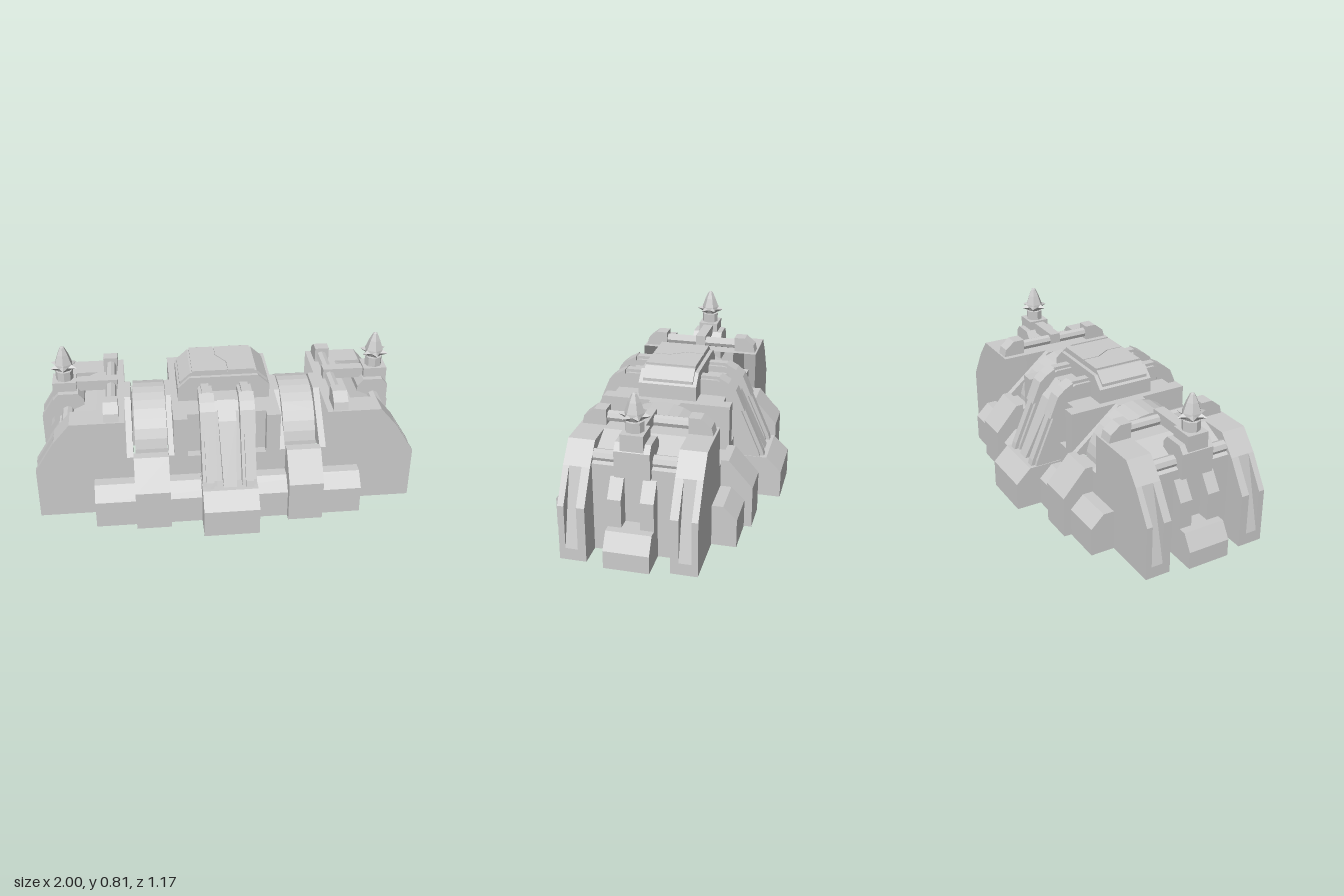
import * as THREE from 'three';

const mat = new THREE.MeshStandardMaterial({ color: 0xcccccc, flatShading: true, side: THREE.DoubleSide });

// The body is a hollow shell: faces on the underside of low parts are left out,
// and so are faces lying in the given inner planes, such as { axis: 'x', at: 0.5 }
function openShell(geo, planes) {
  const g = geo.index ? geo.toNonIndexed() : geo;
  g.computeBoundingBox();
  const low = g.boundingBox.min.y;
  const open = low < 0.35 ? [...planes, { axis: 'y', at: low }] : planes;
  const p = g.attributes.position, kept = [];
  for (let i = 0; i < p.count; i += 3) {
    const tri = [0, 1, 2].map(k => new THREE.Vector3().fromBufferAttribute(p, i + k));
    if (open.some(o => tri.every(v => Math.abs(v[o.axis] - o.at) < 0.001))) continue;
    for (const v of tri) kept.push(v.x, v.y, v.z);
  }
  const out = new THREE.BufferGeometry();
  out.setAttribute('position', new THREE.Float32BufferAttribute(kept, 3));
  out.computeVertexNormals();
  return out;
}
function add(parent, name, geo, planes = []) {
  const m = new THREE.Mesh(openShell(geo, planes), mat);
  m.name = name;
  parent.add(m);
}
// Box given by its limits
function box(parent, name, x0, x1, y0, y1, z0, z1) {
  const g = new THREE.BoxGeometry(x1 - x0, y1 - y0, z1 - z0);
  add(parent, name, g.translate((x0 + x1) / 2, (y0 + y1) / 2, (z0 + z1) / 2));
}
function extrude(pts, depth) {
  const s = new THREE.Shape(pts.map(p => new THREE.Vector2(p[0], p[1])));
  return new THREE.ExtrudeGeometry(s, { depth, bevelEnabled: false });
}
// Profile in x,y swept from z0 to z1
function alongZ(parent, name, pts, z0, z1, planes) {
  add(parent, name, extrude(pts, z1 - z0).translate(0, 0, z0), planes);
}
// Profile in z,y swept from x0 to x1
function alongX(parent, name, pts, x0, x1) {
  add(parent, name, extrude(pts, x1 - x0).rotateY(-Math.PI / 2).translate(x1, 0, 0));
}

// One end of the model (towards +x)
function buildEnd() {
  const g = new THREE.Group();
  const innerSide = { axis: 'x', at: 0.51 };
  for (const s of [1, -1]) {
    const prong = (name, pts, a, b) =>
      alongZ(g, name, pts, Math.min(s * a, s * b), Math.max(s * a, s * b), [innerSide]);
    // prong with a slanted groove between two corner wedges
    prong('prong', [[0.51, 0], [0.97, 0], [0.97, 0.06], [0.87, 0.44], [0.785, 0.54], [0.51, 0.54]], 0.2, 0.33);
    const wedge = [[0.97, 0.06], [0.97, 0.28], [0.87, 0.44]];
    prong('prongInnerWedge', wedge, 0.2, 0.24);
    prong('prongOuterWedge', wedge, 0.3, 0.33);
    // buttress beside the end foot
    prong('buttress', [[0.845, 0], [0.91, 0], [0.91, 0.31], [0.85, 0.4], [0.845, 0.4]], 0.045, 0.11);
    // clamp at each end of the roof pipe
    alongX(g, 'pipeClamp', [[s * 0.2, 0.54], [s * 0.32, 0.54], [s * 0.31, 0.58], [s * 0.26, 0.62], [s * 0.2, 0.62]], 0.54, 0.615);
  }
  alongZ(g, 'endCore', [[0.51, 0], [0.845, 0], [0.845, 0.45], [0.65, 0.54], [0.51, 0.54]], -0.2, 0.2,
    [innerSide, { axis: 'z', at: 0.2 }, { axis: 'z', at: -0.2 }]);
  alongZ(g, 'endFoot', [[0.845, 0], [1, 0], [1, 0.09], [0.95, 0.17], [0.845, 0.17]], -0.11, 0.11);
  const pipe = (name, r, len, x, y) =>
    add(g, name, new THREE.CylinderGeometry(r, r, len, 8).rotateX(Math.PI / 2).translate(x, y, 0));
  pipe('roofPipe', 0.028, 0.42, 0.575, 0.575);
  pipe('endPipe', 0.032, 0.4, 0.8, 0.475);
  // bar from the tower to the roof pipe
  box(g, 'towerBar', 0.54, 0.78, 0.56, 0.615, -0.028, 0.028);
  // tower: base, post and shaft
  alongZ(g, 'towerBase', [[0.715, 0.41], [0.875, 0.41], [0.875, 0.54], [0.845, 0.575], [0.745, 0.575], [0.715, 0.54]], -0.085, 0.085);
  box(g, 'towerPost', 0.75, 0.872, 0.49, 0.625, -0.055, 0.055);
  const lathe = (name, pts, sides) =>
    add(g, name, new THREE.LatheGeometry(pts.map(p => new THREE.Vector2(p[0], p[1])), sides).translate(0.81, 0, 0));
  lathe('towerShaft', [[0.045, 0.62], [0.045, 0.675], [0, 0.68]], 8);
  // spire with a ring of small spikes
  lathe('spire', [[0.03, 0.67], [0.05, 0.7], [0.048, 0.715], [0.03, 0.765], [0.012, 0.803], [0, 0.81]], 6);
  for (let i = 0; i < 6; i++) {
    const spike = new THREE.ConeGeometry(0.022, 0.045, 4).rotateZ(-Math.PI / 2).translate(0.055, 0.7, 0);
    add(g, 'spireSpike', spike.rotateY(i * Math.PI / 3 + Math.PI / 6).translate(0.81, 0, 0));
  }
  // drum in its bay, between two sloping cowls
  add(g, 'drum', new THREE.CylinderGeometry(0.27, 0.27, 0.165, 32).rotateZ(Math.PI / 2).translate(0.383, 0.28, 0));
  const cowl = [[-0.33, 0.31], [0.33, 0.31], [0.33, 0.33], [0.08, 0.54], [-0.08, 0.54], [-0.33, 0.33]];
  alongX(g, 'outerCowl', cowl, 0.477, 0.51);
  alongX(g, 'innerCowl', cowl, 0.27, 0.298);
  return g;
}

// One long face of the model (towards +z)
function buildFace() {
  const g = new THREE.Group();
  box(g, 'lowerWall', -0.51, 0.51, 0, 0.32, 0.28, 0.33);
  alongX(g, 'rail', [[0.33, 0], [0.452, 0], [0.452, 0.145], [0.385, 0.21], [0.33, 0.21]], -0.68, 0.68);
  alongX(g, 'centreFoot', [[0.33, 0], [0.583, 0], [0.583, 0.145], [0.505, 0.22], [0.33, 0.22]], -0.14, 0.14);
  // sloping panel behind the ribs
  alongX(g, 'slopePanel', [[0.28, 0.2], [0.43, 0.2], [0.285, 0.55], [0.25, 0.59], [0, 0.59], [0, 0.5], [0.25, 0.5]], -0.135, 0.135);
  for (const s of [1, -1]) {
    alongX(g, 'drumFoot', [[0.33, 0], [0.49, 0], [0.49, 0.215], [0.37, 0.35], [0.33, 0.35]], s * 0.388 - 0.088, s * 0.388 + 0.088);
    box(g, 'post', s * 0.235 - 0.035, s * 0.235 + 0.035, 0.31, 0.54, 0.18, 0.33);
    // arched rib with a raised middle strip and a collar at the bend
    const ribX = s * 0.1;
    const rib = [[0.4, 0.2], [0.495, 0.2], [0.48, 0.25], [0.335, 0.58], [0.297, 0.612], [0.245, 0.638],
      [0, 0.638], [0, 0.58], [0.24, 0.58], [0.28, 0.54]];
    alongX(g, 'ribCore', rib, ribX - 0.02, ribX + 0.02);
    alongX(g, 'ribSides', rib.map(p => [p[0] * 0.96, 0.2 + (p[1] - 0.2) * 0.965]), ribX - 0.036, ribX + 0.036);
    alongX(g, 'ribCollar', [[0.3, 0.47], [0.383, 0.47], [0.336, 0.58], [0.298, 0.612], [0.25, 0.638], [0.25, 0.56]], ribX - 0.038, ribX + 0.038);
  }
  // central spine, narrower at its foot
  const spine = extrude([[0.36, 0.2], [0.49, 0.2], [0.335, 0.52], [0.25, 0.595], [0.2, 0.55]], 0.09);
  spine.rotateY(-Math.PI / 2).translate(0.045, 0, 0);
  const p = spine.attributes.position;
  for (let i = 0; i < p.count; i++) {
    if (p.getY(i) < 0.3) p.setX(i, p.getX(i) * 0.7);
  }
  add(g, 'centreSpine', spine);
  return g;
}

export function createModel() {
  const model = new THREE.Group();
  model.name = 'fortifiedBarrier';
  // both halves are the same, turned about the vertical axis
  for (const [i, side] of ['left', 'right'].entries()) {
    const end = buildEnd();
    end.name = side + 'End';
    end.rotation.y = i * Math.PI;
    model.add(end);
  }
  for (const [i, side] of ['front', 'back'].entries()) {
    const face = buildFace();
    face.name = side + 'Face';
    face.rotation.y = i * Math.PI;
    model.add(face);
  }
  // middle body between the drums
  box(model, 'middleBody', -0.27, 0.27, 0.31, 0.54, -0.285, 0.285);
  // roof hatch
  alongZ(model, 'hatchBase', [[-0.235, 0.53], [0.235, 0.53], [0.235, 0.615], [0.175, 0.672], [-0.175, 0.672], [-0.235, 0.615]], -0.15, 0.15);
  alongZ(model, 'hatchLid', [[-0.225, 0.6], [0.225, 0.6], [0.225, 0.64], [0.17, 0.69], [-0.17, 0.69], [-0.225, 0.64]], -0.13, 0.13);
  // two lid plates that meet in a zigzag gap
  const seam = [[-0.03, -0.13], [-0.03, -0.04], [0.02, 0.04], [0.02, 0.13]];
  for (const s of [1, -1]) {
    const edge = seam.map(q => [q[0] + s * 0.003, q[1]]);
    const plate = extrude([...edge, [s * 0.16, 0.13], [s * 0.16, -0.13]], 0.012);
    add(model, 'lidPlate', plate.rotateX(Math.PI / 2).translate(0, 0.7, 0));
  }
  return model;
}
